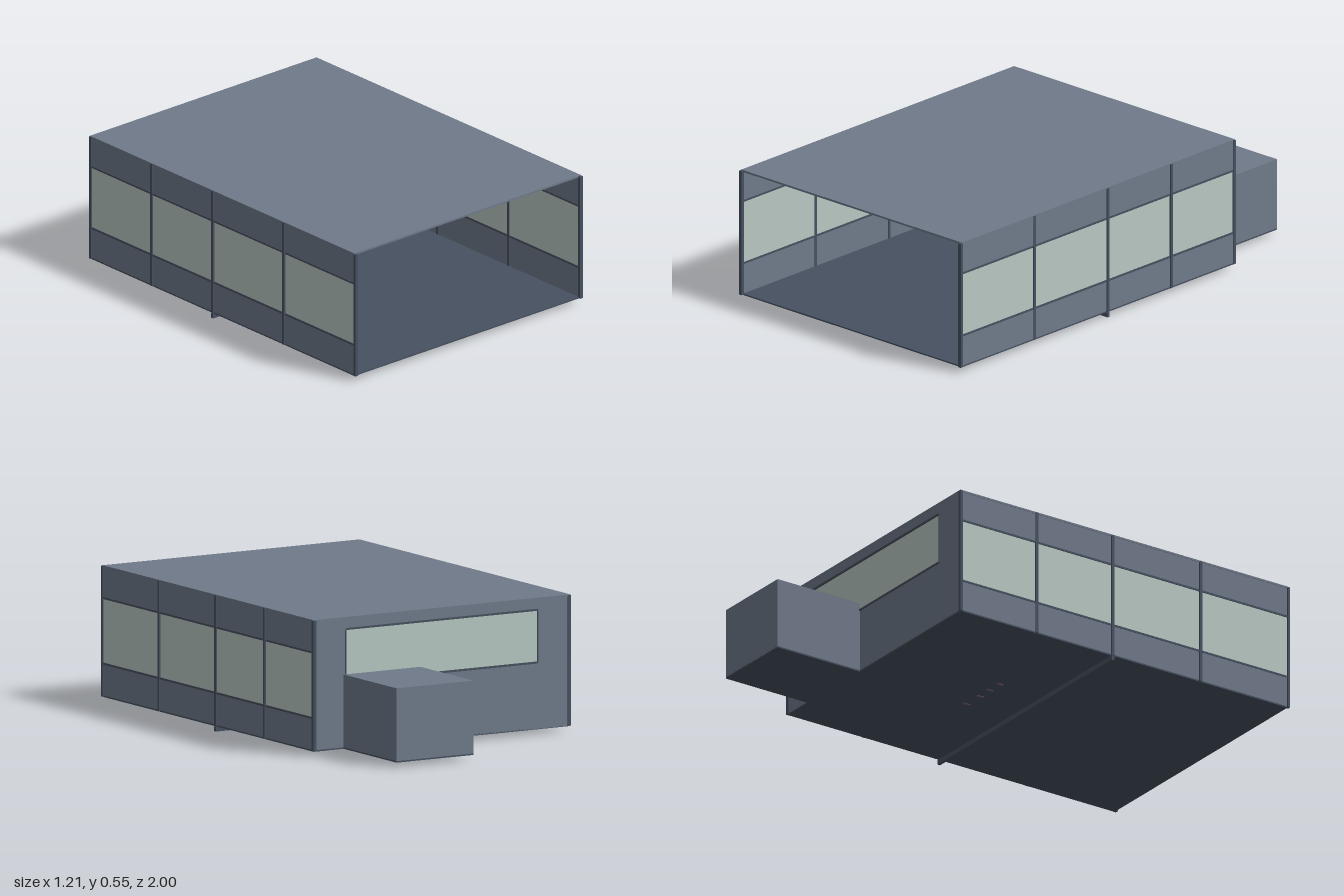
import * as THREE from 'three';
import { RoundedBoxGeometry } from 'three/addons/geometries/RoundedBoxGeometry.js';

const material = (name, color) => {
  const m = new THREE.MeshStandardMaterial({ color });
  m.name = name;
  return m;
};

export function createModel() {
  const wall = material('slate wall', 0x707a8a);
  const frame = material('dark slate frame', 0x475160);
  const glass = material('pale window', 0xb8c8c2);
  const dark = material('charcoal', 0x37353b);
  const mauve = material('mauve', 0x7c6088);
  const pale = material('pale trim', 0xd0dcd5);

  const model = new THREE.Group();
  const add = (parent, name, geometry, mat, x = 0, y = 0, z = 0) => {
    const mesh = new THREE.Mesh(geometry, mat);
    mesh.name = name;
    mesh.position.set(x, y, z);
    parent.add(mesh);
    return mesh;
  };
  // Box given by its lower and upper limits on each axis
  const box = (parent, name, mat, x0, x1, y0, y1, z0, z1) =>
    add(parent, name, new THREE.BoxGeometry(x1 - x0, y1 - y0, z1 - z0), mat,
      (x0 + x1) / 2, (y0 + y1) / 2, (z0 + z1) / 2);
  const group = (name) => {
    const g = new THREE.Group();
    g.name = name;
    model.add(g);
    return g;
  };

  // Floor, roof and the strip under the floor
  box(model, 'floor', frame, -0.6, 0.6, 0.02, 0.026, -0.6, 0.99);
  box(model, 'roof', wall, -0.602, 0.602, 0.544, 0.552, -0.602, 0.99);
  box(model, 'floorStrip', frame, -0.605, 0.605, 0, 0.02, 0.132, 0.144);

  // Side walls with window bands, posts and sills
  const posts = [0.994, 0.566, 0.138, -0.231, -0.598];
  for (const s of [-1, 1]) {
    const side = group(s > 0 ? 'leftWall' : 'rightWall');
    const panel = (name, mat, a, b, y0, y1, z0, z1) =>
      box(side, name, mat, Math.min(s * a, s * b), Math.max(s * a, s * b), y0, y1, z0, z1);
    panel('lowerPanel', wall, 0.592, 0.6, 0.026, 0.155, -0.6, 0.99);
    panel('upperPanel', wall, 0.592, 0.6, 0.42, 0.544, -0.6, 0.99);
    panel('sideWindow', glass, 0.593, 0.599, 0.155, 0.42, -0.6, 0.99);
    for (const y of [0.155, 0.42]) panel('windowRail', frame, 0.591, 0.602, y - 0.004, y + 0.004, -0.6, 0.99);
    for (const z of posts) panel('post', frame, 0.59, 0.605, 0.022, 0.549, z - 0.006, z + 0.006);
  }

  // Back wall with a wide window and a doorway
  const rect = (Type, x0, x1, y0, y1) => new Type([
    new THREE.Vector2(x0, y0), new THREE.Vector2(x1, y0),
    new THREE.Vector2(x1, y1), new THREE.Vector2(x0, y1)]);
  const back = rect(THREE.Shape, -0.6, 0.6, 0.022, 0.546);
  back.holes.push(rect(THREE.Path, -0.45, 0.45, 0.29, 0.5), rect(THREE.Path, 0.21, 0.355, 0.026, 0.245));
  add(model, 'backWall', new THREE.ExtrudeGeometry(back, { depth: 0.008, bevelEnabled: false }), wall, 0, 0, -0.6);
  box(model, 'backWindow', glass, -0.45, 0.45, 0.29, 0.5, -0.598, -0.594);
  for (const y of [0.29, 0.503]) box(model, 'backWindowRail', frame, -0.45, 0.45, y - 0.004, y + 0.004, -0.603, -0.589);
  for (const x of [-0.45, 0.45]) box(model, 'backWindowJamb', frame, x - 0.003, x + 0.003, 0.29, 0.5, -0.602, -0.589);

  // Annex behind the doorway, with its front left open
  const annex = group('annex');
  box(annex, 'annexRoof', wall, 0.1, 0.46, 0.314, 0.32, -1, -0.6);
  box(annex, 'annexFloor', frame, 0.1, 0.46, 0.02, 0.026, -1, -0.6);
  box(annex, 'annexBack', wall, 0.1, 0.46, 0.022, 0.315, -1, -0.994);
  for (const x of [0.1, 0.454]) box(annex, 'annexSide', wall, x, x + 0.006, 0.022, 0.315, -0.995, -0.6);

  // Door frame and step rail
  const door = group('doorFrame');
  for (const x of [0.2, 0.353]) box(door, 'doorJamb', frame, x, x + 0.01, 0.026, 0.245, -0.6, -0.575);
  add(door, 'doorLintel', new RoundedBoxGeometry(0.165, 0.014, 0.035, 2, 0.005), mauve, 0.282, 0.248, -0.583);
  box(door, 'doorRail', pale, 0.21, 0.353, 0.091, 0.097, -0.595, -0.58);

  // Shelf unit on the back wall
  const shelves = group('shelfUnit');
  for (const x of [-0.412, -0.156]) box(shelves, 'shelfSide', frame, x, x + 0.006, 0.026, 0.29, -0.592, -0.46);
  box(shelves, 'shelfTop', frame, -0.412, -0.15, 0.286, 0.292, -0.592, -0.46);
  for (const y of [0.08, 0.152, 0.225]) box(shelves, 'shelf', pale, -0.406, -0.156, y - 0.003, y + 0.003, -0.592, -0.465);

  // Tall cabinets with round mauve dials and a small handle
  for (const s of [-1, 1]) {
    const cabinet = group(s > 0 ? 'leftCabinet' : 'rightCabinet');
    add(cabinet, 'cabinetBody', new RoundedBoxGeometry(0.17, 0.415, 0.16, 2, 0.01), dark, s * 0.482, 0.285, -0.34);
    for (const y of [0.178, 0.39]) {
      const dial = add(cabinet, 'dial', new THREE.CylinderGeometry(0.03, 0.036, 0.012, 24), mauve, s * 0.48, y, -0.255);
      dial.rotation.x = Math.PI / 2;
    }
    box(cabinet, 'handle', pale, s * 0.477 - 0.006, s * 0.477 + 0.006, 0.328, 0.358, -0.262, -0.248);
  }

  // Bowl beside the right cabinet
  const bowl = [[0.001, 0], [0.016, 0], [0.034, 0.033], [0.03, 0.033], [0.013, 0.005], [0.001, 0.005]]
    .map(([r, y]) => new THREE.Vector2(r, y));
  add(model, 'bowl', new THREE.LatheGeometry(bowl, 20), mauve, -0.4, 0.195, -0.22);
  box(model, 'bowlBracket', pale, -0.406, -0.394, 0.187, 0.196, -0.28, -0.21);

  // Pale hanging frame in front of the cabinets
  const hanger = group('hangingFrame');
  add(hanger, 'topRail', new RoundedBoxGeometry(1.13, 0.02, 0.02, 2, 0.006), pale, 0, 0.474, -0.2);
  for (const x of [-0.557, 0.557]) add(hanger, 'upright', new RoundedBoxGeometry(0.017, 0.37, 0.02, 2, 0.006), pale, x, 0.294, -0.2);

  // Low table with a mauve rim, inset panel and short feet
  const table = group('lowTable');
  const rim = rect(THREE.Shape, -0.138, 0.135, 0.021, 0.081);
  rim.holes.push(rect(THREE.Path, -0.132, 0.129, 0.027, 0.075));
  add(table, 'tableRim', new THREE.ExtrudeGeometry(rim, { depth: 0.13, bevelEnabled: false }), mauve, 0, 0, -0.14);
  box(table, 'tablePanel', frame, -0.1, 0.095, 0.027, 0.075, -0.08, -0.07);
  for (const x of [-0.13, -0.06, 0.01, 0.1]) box(table, 'tableFoot', mauve, x, x + 0.012, 0.019, 0.027, -0.09, -0.06);

  return model;
}
